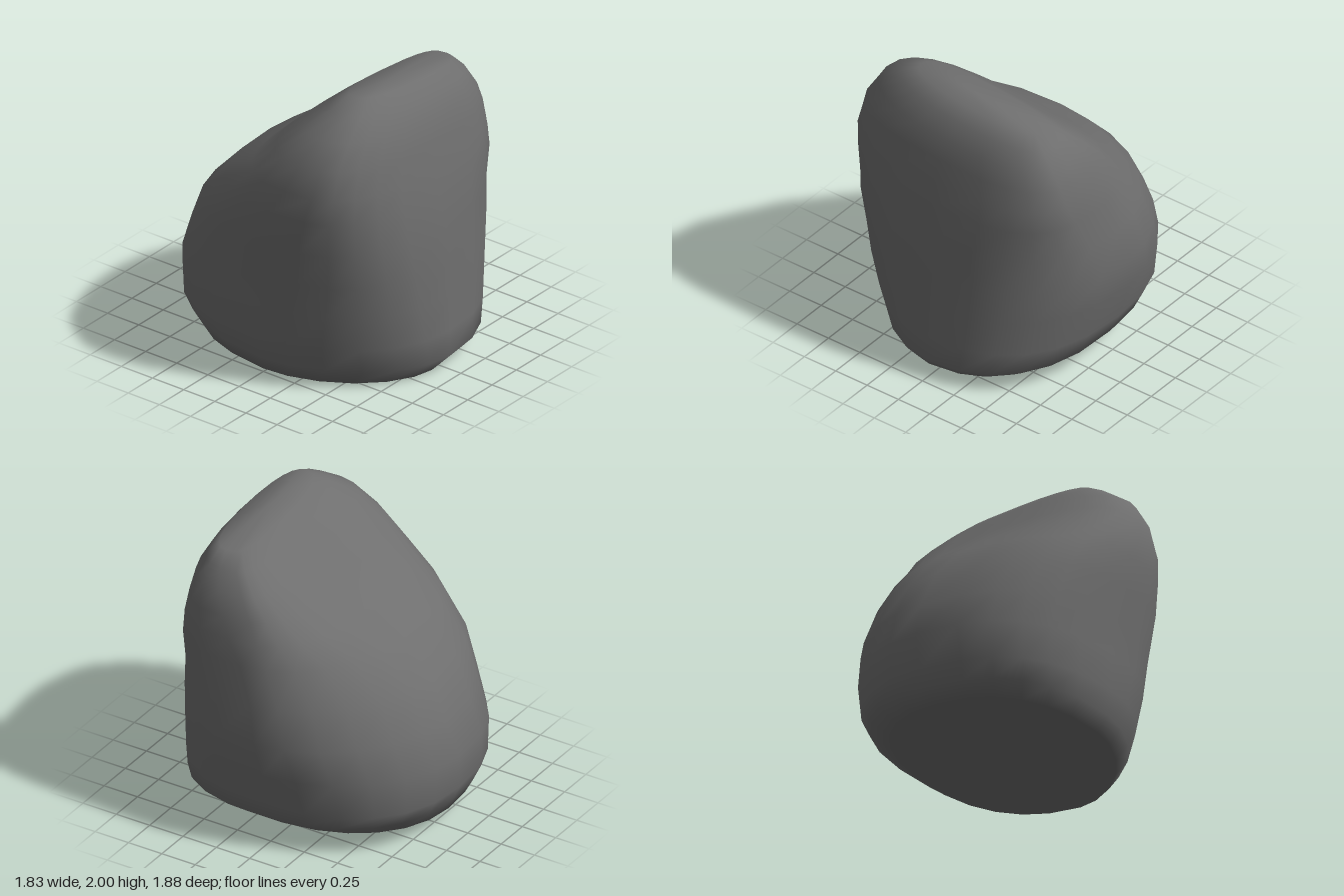
import * as THREE from 'three';

// Cross-sections from bottom to top:
// [height, min x, max x, back z, front z, slope along x, slope along z,
//  corner squareness: front (+x), front (-x), back (-x), back (+x)]
const RINGS = [
  [0.045, -0.76, 0.60, -0.81, 0.83, 0.02, -0.05, 2.4, 1.7, 2.4, 2.2],
  [0.16, -0.82, 0.76, -0.87, 0.94, 0.02, -0.04, 2.4, 1.75, 2.55, 2.25],
  [0.30, -0.86, 0.81, -0.92, 0.935, 0, 0, 2.4, 1.95, 2.6, 2.2],
  [0.55, -0.875, 0.87, -0.935, 0.92, 0, 0, 2.35, 2.35, 2.55, 1.95],
  [0.79, -0.88, 0.91, -0.85, 0.905, 0, 0, 2.3, 2.65, 2.6, 1.85],
  [1.04, -0.91, 0.87, -0.73, 0.89, 0, 0, 2.5, 2.8, 2.6, 1.85],
  [1.28, -0.915, 0.83, -0.50, 0.855, 0, 0, 3.1, 2.8, 2.6, 2.0],
  [1.44, -0.90, 0.80, -0.26, 0.825, -0.02, 0, 3.2, 2.75, 2.6, 2.6],
  [1.60, -0.84, 0.765, -0.08, 0.79, -0.05, 0, 3.1, 2.6, 2.6, 3.4],
  [1.75, -0.73, 0.71, 0.09, 0.755, -0.08, 0, 2.9, 2.4, 2.5, 4],
  [1.87, -0.56, 0.63, 0.23, 0.685, -0.095, 0, 2.8, 2.3, 2.5, 4],
  [1.94, -0.42, 0.54, 0.33, 0.61, -0.10, 0.03, 2.6, 2.3, 2.5, 3.5],
];
const SEGMENTS = 24;

// Rounded-box outline, each quadrant with its own squareness
function ringPoint([y, x0, x1, z0, z1, sx, sz, ...corners], angle) {
  const c = Math.cos(angle), s = Math.sin(angle);
  const n = corners[Math.floor(angle / (Math.PI / 2))];
  const bend = (v) => Math.sign(v) * Math.pow(Math.abs(v), 2 / n);
  const x = (x0 + x1) / 2 + bend(c) * (x1 - x0) / 2;
  const z = (z0 + z1) / 2 + bend(s) * (z1 - z0) / 2;
  return [x, y + sx * x + sz * z, z];
}

function boulderGeometry() {
  const positions = [], index = [];
  for (const ring of RINGS) {
    for (let i = 0; i < SEGMENTS; i++) {
      positions.push(...ringPoint(ring, (i / SEGMENTS) * Math.PI * 2));
    }
  }
  const last = (RINGS.length - 1) * SEGMENTS;
  const bottom = RINGS.length * SEGMENTS, top = bottom + 1;
  positions.push(-0.1, 0, 0, -0.05, 1.97, 0.47);

  // Sides
  for (let r = 0; r < RINGS.length - 1; r++) {
    for (let i = 0; i < SEGMENTS; i++) {
      const j = (i + 1) % SEGMENTS;
      const a = r * SEGMENTS + i, b = r * SEGMENTS + j;
      const c = a + SEGMENTS, d = b + SEGMENTS;
      index.push(a, c, b, b, c, d);
    }
  }
  // Underside and crown
  for (let i = 0; i < SEGMENTS; i++) {
    const j = (i + 1) % SEGMENTS;
    index.push(bottom, i, j, top, last + j, last + i);
  }
  const geometry = new THREE.BufferGeometry();
  geometry.setAttribute('position', new THREE.Float32BufferAttribute(positions, 3));
  geometry.setIndex(index);
  geometry.computeVertexNormals();
  return geometry;
}

export function createModel() {
  const stone = new THREE.MeshStandardMaterial({ color: 0x6e6e6e });
  stone.name = 'stone grey';
  const boulder = new THREE.Mesh(boulderGeometry(), stone);
  boulder.name = 'boulder';
  const model = new THREE.Group();
  model.name = 'rock';
  model.add(boulder);
  return model;
}
